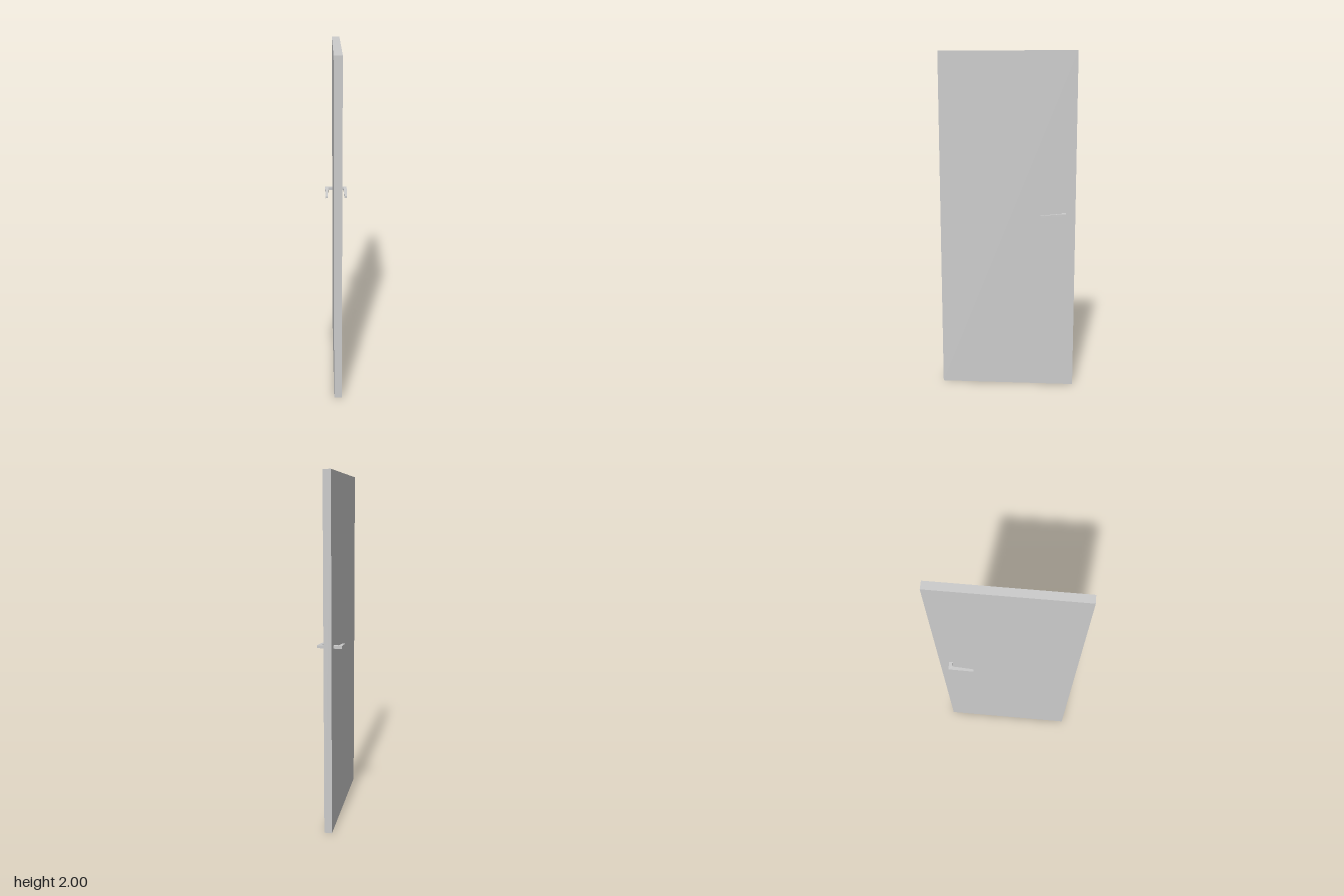
import * as THREE from 'three';

const material = new THREE.MeshStandardMaterial({ color: 0xcccccc, flatShading: true });

// Rectangular sections along the handle: outer [x, z], inner [x, z], bottom y, top y
const sections = [
  [[0.020, -0.343], [0.020, -0.322], 1.057, 1.073],
  [[0.0688, -0.343], [0.046, -0.322], 1.057, 1.073],
  [[0.0688, -0.320], [0.0488, -0.318], 1.056, 1.072],
  [[0.0665, -0.225], [0.0505, -0.225], 1.049, 1.063],
  [[0.0655, -0.197], [0.0515, -0.197], 1.047, 1.060],
];

// Lofts the sections into a bent, tapering lever; side is +1 or -1
function leverGeometry(side) {
  const positions = [];
  const index = [];
  for (const [o, i, low, high] of sections) {
    for (const [p, y] of [[o, low], [o, high], [i, high], [i, low]]) {
      positions.push(side * p[0], y, p[1]);
    }
  }
  const quad = (a, b, c, d) => {
    if (side > 0) index.push(a, b, c, a, c, d);
    else index.push(a, c, b, a, d, c);
  };
  for (let s = 0; s < sections.length - 1; s++) {
    for (let k = 0; k < 4; k++) {
      const a = s * 4 + k;
      const b = s * 4 + (k + 1) % 4;
      quad(a, b, b + 4, a + 4);
    }
  }
  const e = (sections.length - 1) * 4;
  quad(3, 2, 1, 0);
  quad(e, e + 1, e + 2, e + 3);

  const indexed = new THREE.BufferGeometry();
  indexed.setAttribute('position', new THREE.Float32BufferAttribute(positions, 3));
  indexed.setIndex(index);
  const geometry = indexed.toNonIndexed();
  geometry.computeVertexNormals();
  return geometry;
}

export function createModel() {
  const group = new THREE.Group();
  group.name = 'door';

  // Plain door slab
  const panel = new THREE.Mesh(new THREE.BoxGeometry(0.0444, 2, 0.8), material);
  panel.name = 'doorPanel';
  panel.position.y = 1;
  group.add(panel);

  // One lever handle on each face
  for (const side of [1, -1]) {
    const handle = new THREE.Mesh(leverGeometry(side), material);
    handle.name = side > 0 ? 'leftHandle' : 'rightHandle';
    group.add(handle);
  }
  return group;
}
